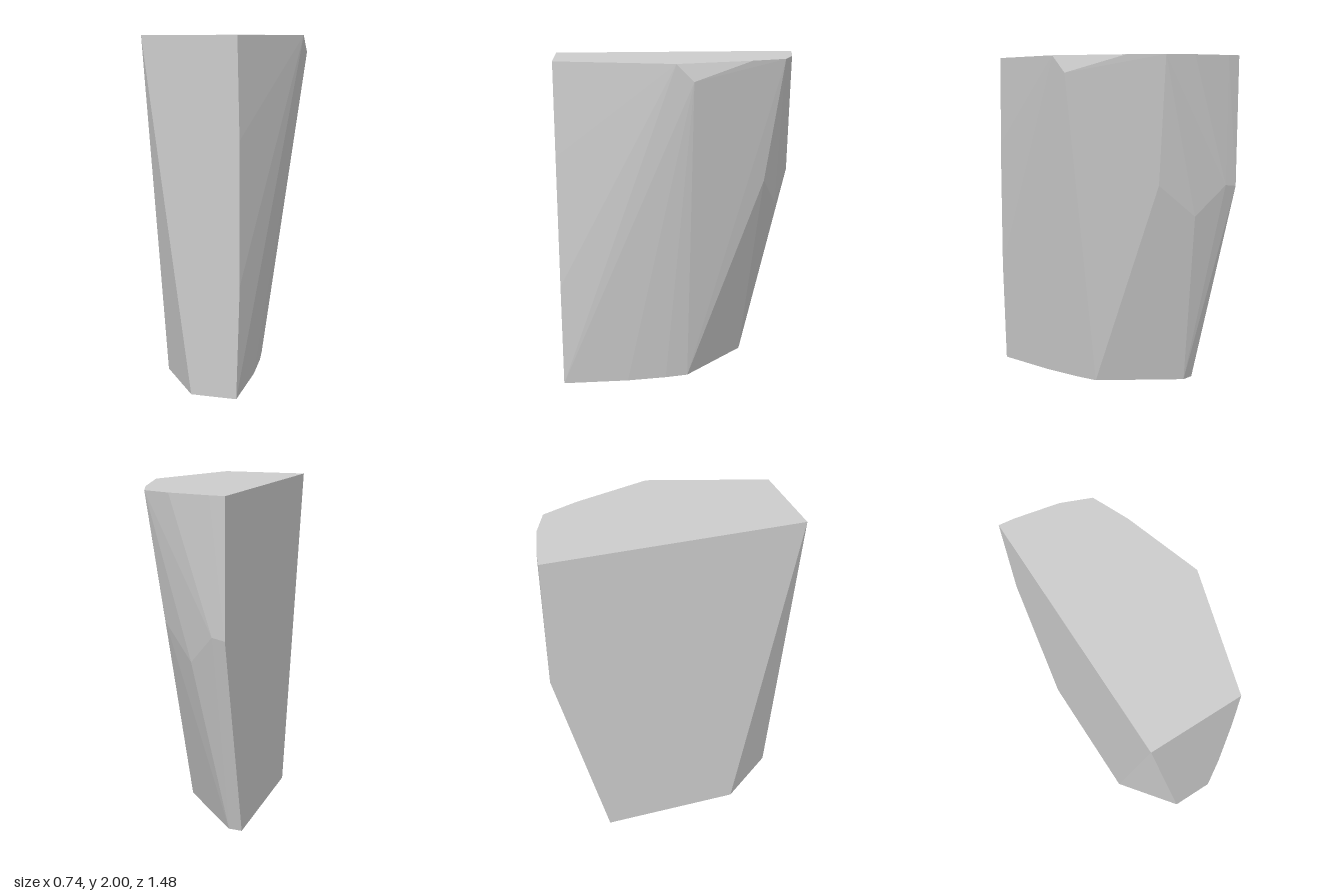
import * as THREE from 'three';
import { ConvexGeometry } from 'three/addons/geometries/ConvexGeometry.js';

// Faceted stone shard: flat top, front and inner side, chipped outer side and back.
export function createModel() {
  const group = new THREE.Group();
  group.name = 'stoneShard';
  const stone = new THREE.MeshStandardMaterial({ color: 0xcccccc });
  stone.name = 'paleGrey';

  // Corners [x, z] of the flat top and of the smaller flat base
  const top = [
    [-0.37, 0.74], [0.165, 0.74], [0.37, 0.05], [0.23, -0.4],
    [0.14, -0.61], [-0.03, -0.68], [-0.28, -0.73], [-0.37, -0.74],
  ];
  const base = [
    [-0.11, 0.74], [0.155, 0.74], [0.15, 0.34], [0.125, 0.1],
    [0.1, -0.04], [-0.29, -0.43], [-0.37, -0.43], [-0.37, 0.4],
  ];
  // Corners of the chips between them [x, y, z]
  const chips = [
    [0.37, 1.9, -0.05],
    [0.176, 1.45, 0.74], [0.176, 0.65, 0.74],
    [0.07, 1.26, -0.51], [-0.13, 1.07, -0.62],
    [-0.29, 1.25, -0.72], [-0.37, 1.24, -0.735],
  ];

  const points = [
    ...top.map(([x, z]) => new THREE.Vector3(x, 2, z)),
    ...base.map(([x, z]) => new THREE.Vector3(x, 0, z)),
    ...chips.map((p) => new THREE.Vector3(...p)),
  ];
  const shard = new THREE.Mesh(new ConvexGeometry(points), stone);
  shard.name = 'shard';
  group.add(shard);
  return group;
}
